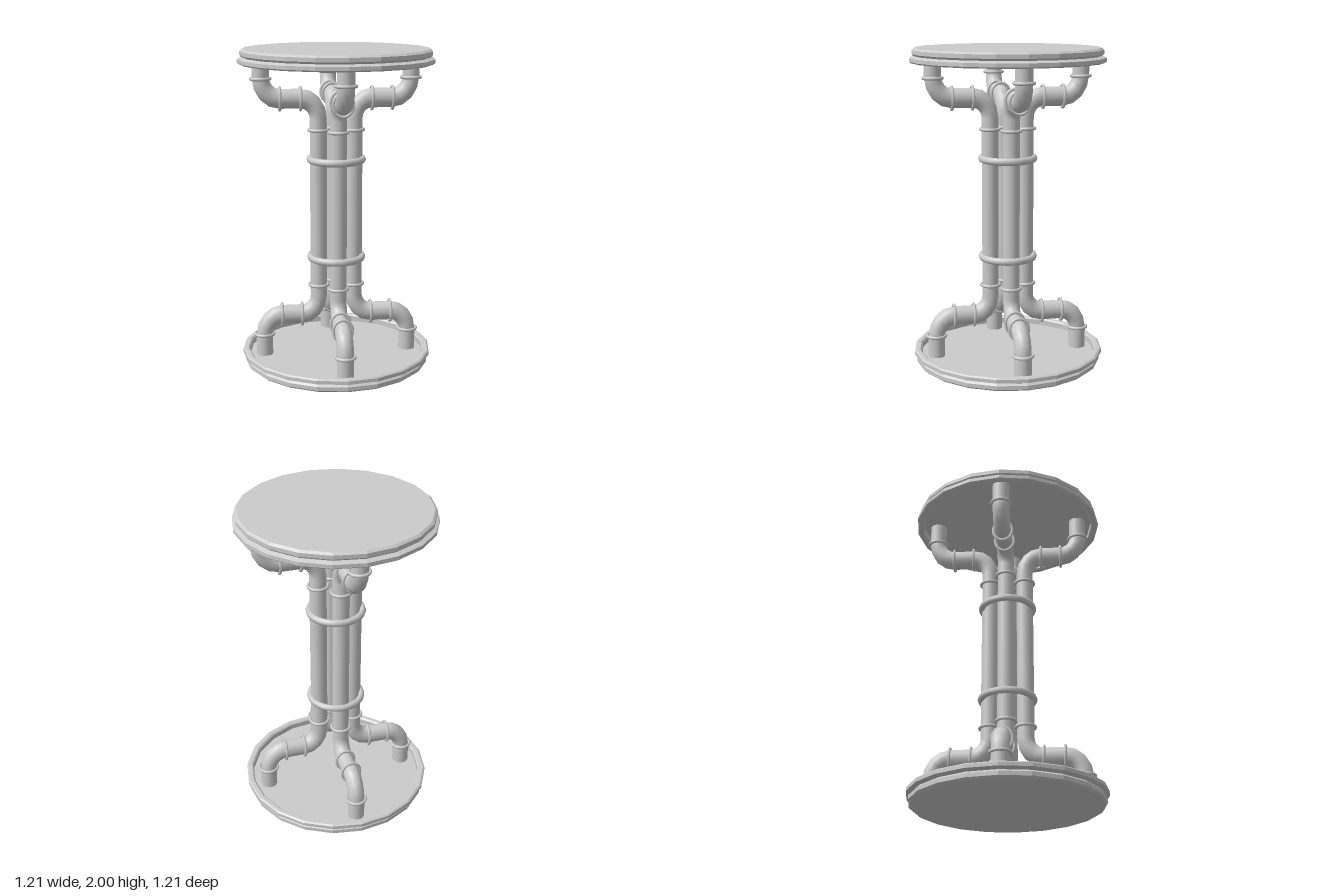
import * as THREE from 'three';

const STRETCH = 1.15; // pipework is slightly stretched in height
const PIPE_R = 0.053;
const smooth = new THREE.MeshStandardMaterial({ color: 0xcccccc });
const faceted = new THREE.MeshStandardMaterial({ color: 0xcccccc, flatShading: true });

function add(parent, name, geometry, material = smooth) {
  const mesh = new THREE.Mesh(geometry, material);
  mesh.name = name;
  parent.add(mesh);
  return mesh;
}

// Straight run between two points in the arm's xy plane
function straight(arm, name, x0, y0, x1, y1) {
  const length = Math.hypot(x1 - x0, y1 - y0);
  const pipe = add(arm, name, new THREE.CylinderGeometry(PIPE_R, PIPE_R, length, 16, 1, true));
  pipe.position.set((x0 + x1) / 2, (y0 + y1) / 2, 0);
  pipe.rotation.z = Math.atan2(y1 - y0, x1 - x0) - Math.PI / 2;
}

// Quarter bend
function elbow(arm, name, x, y, radius, startAngle) {
  const bend = add(arm, name, new THREE.TorusGeometry(radius, PIPE_R, 16, 4, Math.PI / 2));
  bend.position.set(x, y, 0);
  bend.rotation.z = startAngle;
}

// Thin joint ring around a vertical or horizontal run
function jointRing(arm, x, y, horizontal) {
  const ring = add(arm, 'jointRing', new THREE.TorusGeometry(0.06, 0.009, 8, 20));
  ring.position.set(x, y, 0);
  if (horizontal) ring.rotation.y = Math.PI / 2;
  else ring.rotation.x = Math.PI / 2;
}

// Half of one pipe: foot, outward run and half the upright
function createArm() {
  const arm = new THREE.Group();
  arm.name = 'pipe';
  straight(arm, 'pipeFoot', 0.465, 0.035, 0.465, 0.15);
  elbow(arm, 'outerElbow', 0.35, 0.15, 0.115, 0);
  straight(arm, 'pipeRun', 0.22, 0.265, 0.35, 0.265);
  elbow(arm, 'innerElbow', 0.22, 0.373, 0.108, Math.PI);
  straight(arm, 'pipeUpright', 0.112, 0.373, 0.112, 1 / STRETCH);
  jointRing(arm, 0.465, 0.157, false);
  jointRing(arm, 0.35, 0.265, true);
  jointRing(arm, 0.222, 0.265, true);
  jointRing(arm, 0.112, 0.435, false);
  return arm;
}

// Twenty-sided plate with a grooved edge and a raised rim around a recessed face
function plateGeometry() {
  const profile = [
    [0, 0], [0.575, 0], [0.59, 0.012], [0.59, 0.036], [0.577, 0.048],
    [0.605, 0.06], [0.605, 0.082], [0.595, 0.09], [0.57, 0.09],
    [0.56, 0.08], [0.56, 0.045], [0, 0.045],
  ];
  return new THREE.LatheGeometry(profile.map(([r, y]) => new THREE.Vector2(r, y)), 20);
}

function createHalf(name) {
  const half = new THREE.Group();
  half.name = name;
  add(half, 'plate', plateGeometry(), faceted);

  const pipes = new THREE.Group();
  pipes.name = 'pipes';
  pipes.scale.y = STRETCH;
  for (let i = 0; i < 4; i++) {
    const arm = createArm();
    arm.rotation.y = i * Math.PI / 2;
    pipes.add(arm);
  }
  half.add(pipes);

  // Large ring binding the four uprights
  const band = add(half, 'bindingRing', new THREE.TorusGeometry(0.166, 0.02, 8, 32));
  band.rotation.x = Math.PI / 2;
  band.scale.z = STRETCH;
  band.position.y = 0.685;
  return half;
}

export function createModel() {
  const model = new THREE.Group();
  model.name = 'pipeTable';
  model.add(createHalf('lowerHalf'));
  // The upper half is the lower one turned over
  const upper = createHalf('upperHalf');
  upper.rotation.x = Math.PI;
  upper.position.y = 2;
  model.add(upper);
  return model;
}
